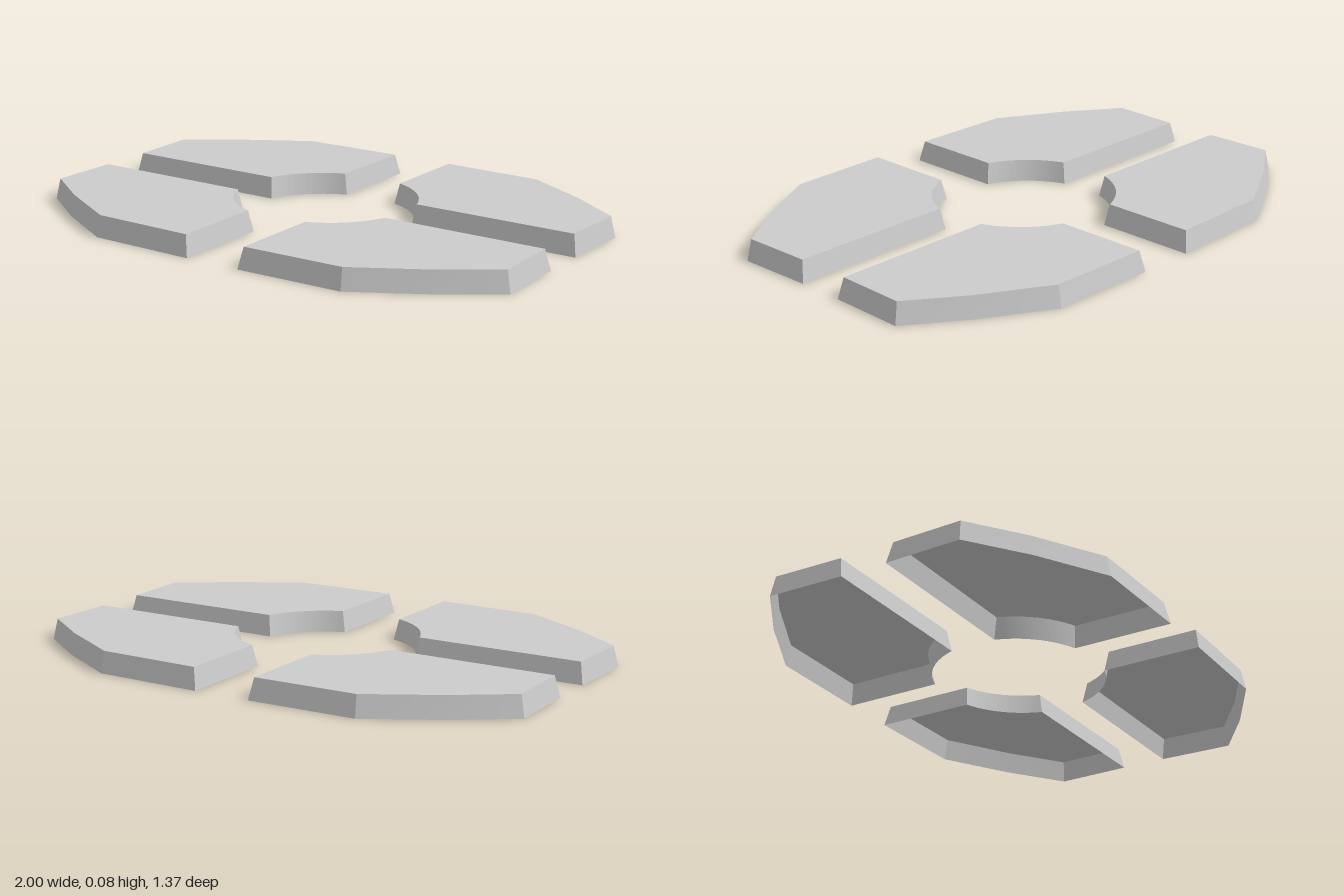
import * as THREE from 'three';
import { toCreasedNormals } from 'three/addons/utils/BufferGeometryUtils.js';

const HEIGHT = 0.08;
const INSET = 0.016;

// Footprint of one quarter panel in x/z, ordered clockwise
function outline(sx, sz) {
  const pts = [[0.11, 0.685], [0.53, 0.677], [0.79, 0.53], [1, 0.382], [0.992, 0.09]];
  // Concave arc around the central opening
  const a0 = Math.atan2(0.09, 0.32), a1 = Math.atan2(0.30, 0.11);
  const steps = 10;
  for (let i = 0; i <= steps; i++) {
    const t = i / steps, a = a0 + (a1 - a0) * t, r = 0.332 - 0.012 * t;
    pts.push([r * Math.cos(a), r * Math.sin(a)]);
  }
  const mirrored = pts.map(([x, z]) => new THREE.Vector2(x * sx, z * sz));
  return sx * sz < 0 ? mirrored.reverse() : mirrored;
}

// Mitred inward offset of a clockwise outline
function insetOutline(pts, d) {
  const n = pts.length;
  const normal = (a, b) => {
    const e = b.clone().sub(a).normalize();
    return new THREE.Vector2(e.y, -e.x);
  };
  return pts.map((p, i) => {
    const n0 = normal(pts[(i + n - 1) % n], p);
    const n1 = normal(p, pts[(i + 1) % n]);
    return p.clone().addScaledVector(n0.clone().add(n1), d / (1 + n0.dot(n1)));
  });
}

// Tapered shell: sloping walls and a flat top, open underneath
function panelGeometry(sx, sz) {
  const base = outline(sx, sz);
  const top = insetOutline(base, INSET);
  const pos = [];
  const add = (p, y) => pos.push(p.x, y, p.y);
  base.forEach((a, i) => {
    const j = (i + 1) % base.length, b = base[j];
    add(a, 0); add(b, 0); add(top[j], HEIGHT);
    add(a, 0); add(top[j], HEIGHT); add(top[i], HEIGHT);
  });
  for (const face of THREE.ShapeUtils.triangulateShape(top, [])) {
    const tri = face.map((k) => top[k]);
    if (!THREE.ShapeUtils.isClockWise(tri)) tri.reverse();
    tri.forEach((p) => add(p, HEIGHT));
  }
  const geo = new THREE.BufferGeometry();
  geo.setAttribute('position', new THREE.Float32BufferAttribute(pos, 3));
  return toCreasedNormals(geo, THREE.MathUtils.degToRad(25));
}

export function createModel() {
  const model = new THREE.Group();
  model.name = 'quarterPanels';
  const material = new THREE.MeshStandardMaterial({ color: 0xcccccc, side: THREE.DoubleSide });
  // Four mirrored panels
  for (const sx of [1, -1]) {
    for (const sz of [1, -1]) {
      const panel = new THREE.Mesh(panelGeometry(sx, sz), material);
      panel.name = (sz > 0 ? 'front' : 'back') + (sx > 0 ? 'Left' : 'Right') + 'Panel';
      model.add(panel);
    }
  }
  return model;
}
